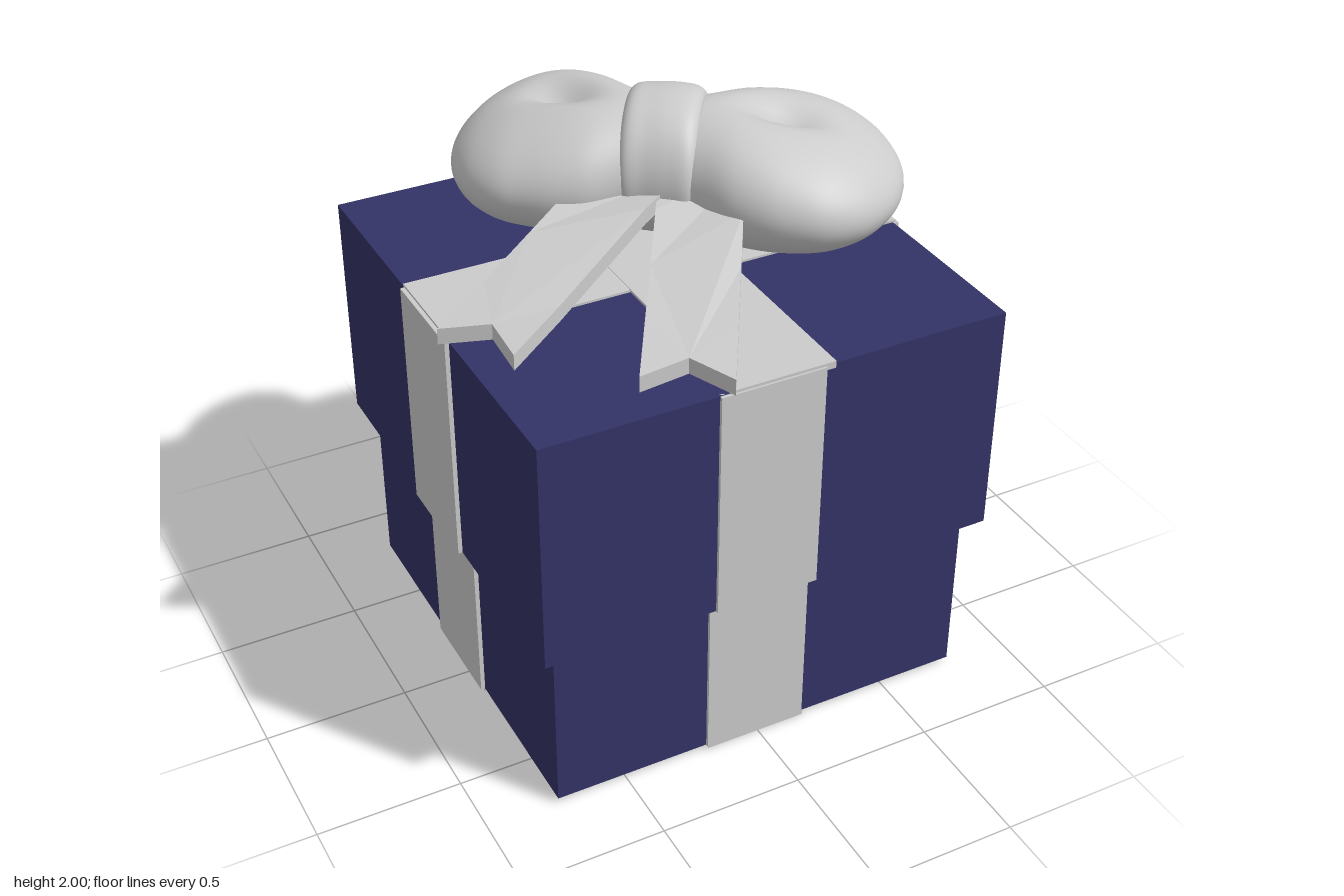
import * as THREE from 'three';

const navy = new THREE.MeshStandardMaterial({ color: 0x333366 });
const grey = new THREE.MeshStandardMaterial({ color: 0xcccccc });
const greyFlat = new THREE.MeshStandardMaterial({ color: 0xcccccc, flatShading: true });

// Box given by its minimum and maximum corners
function slab(name, material, [x0, y0, z0], [x1, y1, z1]) {
  const mesh = new THREE.Mesh(new THREE.BoxGeometry(x1 - x0, y1 - y0, z1 - z0), material);
  mesh.position.set((x0 + x1) / 2, (y0 + y1) / 2, (z0 + z1) / 2);
  mesh.name = name;
  return mesh;
}

// Smooth loft along x through elliptical sections [x, half width, half height];
// place(point, angle) bends each point
function loft(rows, steps, sides, place) {
  const curve = new THREE.CatmullRomCurve3(rows.map(r => new THREE.Vector3(...r)));
  const positions = [], index = [], p = new THREE.Vector3();
  for (let i = 0; i <= steps; i++) {
    const s = curve.getPoint(i / steps);
    for (let j = 0; j < sides; j++) {
      const a = (j / sides) * Math.PI * 2;
      p.set(s.x, Math.max(s.z, 0) * Math.sin(a), Math.max(s.y, 0) * Math.cos(a));
      place(p, a);
      positions.push(p.x, p.y, p.z);
      if (i === steps) continue;
      const k = (j + 1) % sides, q = i * sides;
      index.push(q + j, q + sides + j, q + k, q + k, q + sides + j, q + sides + k);
    }
  }
  const g = new THREE.BufferGeometry();
  g.setAttribute('position', new THREE.Float32BufferAttribute(positions, 3));
  g.setIndex(index);
  g.computeVertexNormals();
  return g;
}

// Puffed bow loop with a dent on its upper and lower faces
function bowLoop(name, length, shift) {
  const rows = [[0.0, 0.18, 0.18], [0.06, 0.205, 0.2], [0.14, 0.25, 0.222], [0.26, 0.33, 0.237],
    [0.4, 0.378, 0.228], [0.54, 0.37, 0.2], [0.66, 0.3, 0.15], [0.74, 0.19, 0.09],
    [0.775, 0.09, 0.042], [0.785, 0, 0]];
  const g = loft(rows, 72, 56, (p, a) => {
    const dent = 0.07 * Math.exp(-(((p.x - 0.38) / 0.13) ** 2) - ((p.z / 0.07) ** 2));
    p.y += 1.75 - 0.09 * p.x - dent * Math.sign(Math.sin(a));
    p.z += shift * THREE.MathUtils.smoothstep(p.x, 0.05, 0.5);
    p.x *= length;
  });
  const mesh = new THREE.Mesh(g, grey);
  mesh.name = name;
  return mesh;
}

// Ribbon tail with a swallow-tail notch, sloping down to its tip
function tail(name, tip, start, heights) {
  const dx = tip[0] - start[0], dz = tip[1] - start[1], len = Math.hypot(dx, dz), w = 0.14;
  const stops = [0, 0.25, 0.5, 0.75, 1];
  const pts = stops.map(s => new THREE.Vector2(s * len, -w));
  pts.push(new THREE.Vector2(len - 0.09, 0));
  stops.slice().reverse().forEach(s => pts.push(new THREE.Vector2(s * len, w)));
  const g = new THREE.ExtrudeGeometry(new THREE.Shape(pts), { depth: 0.055, bevelEnabled: false });
  g.rotateX(Math.PI / 2);
  const pos = g.attributes.position;
  for (let i = 0; i < pos.count; i++) {
    const f = THREE.MathUtils.clamp(pos.getX(i) / len, 0, 1) * 4, k = Math.min(Math.floor(f), 3);
    pos.setY(i, pos.getY(i) + THREE.MathUtils.lerp(heights[k], heights[k + 1], f - k));
  }
  g.computeVertexNormals();
  const mesh = new THREE.Mesh(g, greyFlat);
  mesh.position.set(start[0], 0, start[1]);
  mesh.rotation.y = Math.atan2(-dz, dx);
  mesh.name = name;
  return mesh;
}

export function createModel() {
  const model = new THREE.Group();
  model.name = 'giftBox';

  // Box body and the wider lid
  const body = { name: 'boxBody', min: [-0.75, 0.02, -0.78], max: [0.77, 0.645, 0.73] };
  const lid = { name: 'boxLid', min: [-0.8, 0.64, -0.86], max: [0.83, 1.465, 0.78] };

  // Ribbon bands on the four sides of both boxes
  for (const { name, min, max } of [body, lid]) {
    model.add(slab(name, navy, min, max));
    const [x0, y0, z0] = min, [x1, y1, z1] = max;
    model.add(
      slab(name + 'FrontRibbon', grey, [-0.2, y0, z1 - 0.01], [0.165, y1, z1 + 0.012]),
      slab(name + 'BackRibbon', grey, [-0.18, y0, z0 - 0.01], [0.19, y1, z0 + 0.01]),
      slab(name + 'LeftRibbon', grey, [x1 - 0.01, y0, -0.24], [x1 + 0.018, y1, 0.13]),
      slab(name + 'RightRibbon', grey, [x0 - 0.015, y0, -0.24], [x0 + 0.01, y1, 0.13]));
  }

  // Crossed ribbons over the lid and under the body
  model.add(
    slab('topRibbonLengthwise', grey, [-0.167, 1.45, -0.86], [0.2, 1.475, 0.785]),
    slab('topRibbonCrosswise', grey, [-0.8, 1.45, -0.25], [0.84, 1.473, 0.122]),
    slab('bottomRibbonLengthwise', grey, [-0.19, 0.0, -0.78], [0.175, 0.025, 0.73]),
    slab('bottomRibbonCrosswise', grey, [-0.75, 0.006, -0.24], [0.77, 0.025, 0.13]));

  // Bow: two loops and the knot, turned across the lid
  const bow = new THREE.Group();
  bow.name = 'bow';
  bow.position.set(0.11, 0, -0.17);
  bow.rotation.y = -0.62;
  const leftLoop = bowLoop('leftLoop', 1, -0.04);
  const rightLoop = bowLoop('rightLoop', 0.935, 0.095);
  rightLoop.rotation.y = Math.PI;
  const knot = new THREE.Mesh(loft([[-0.1, 0.15, 0.16], [-0.125, 0.21, 0.21], [-0.1, 0.235, 0.238],
    [-0.04, 0.235, 0.247], [0.03, 0.24, 0.25], [0.1, 0.24, 0.238], [0.125, 0.215, 0.21],
    [0.1, 0.15, 0.16]], 40, 56, p => { p.y += 1.75; }), grey);
  knot.name = 'knot';
  bow.add(leftLoop, rightLoop, knot);
  model.add(bow);

  // Loose ribbon tails
  model.add(
    tail('sideTail', [-0.8, 0.35], [0.05, -0.17], [1.75, 1.73, 1.68, 1.63, 1.59]),
    tail('frontTail', [-0.34, 0.835], [0.2, -0.075], [1.74, 1.72, 1.67, 1.64, 1.605]));
  return model;
}
